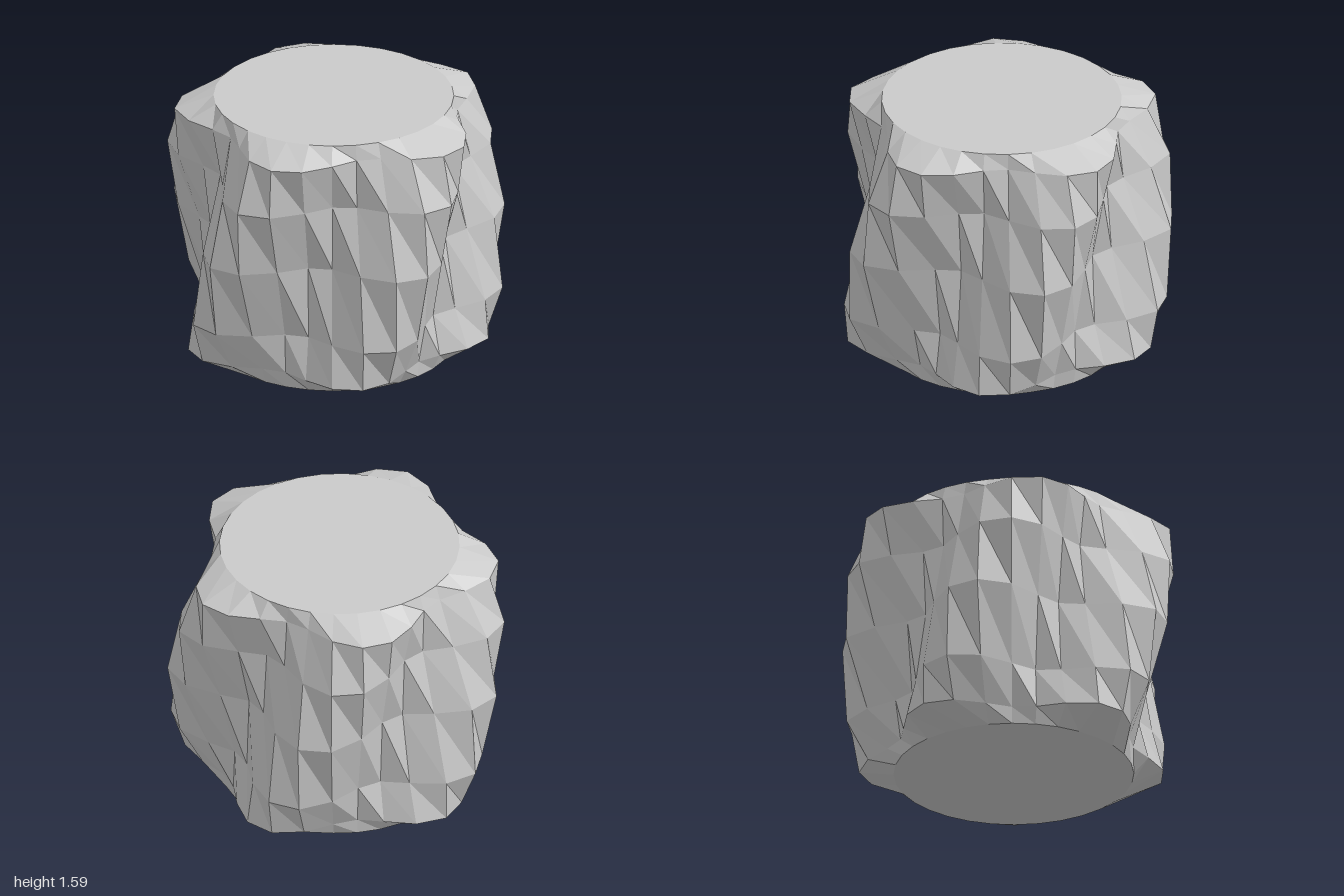
import * as THREE from 'three';

const SIDES = 32;   // columns round the stone
const LOBES = 5;    // bulges round the stone
const CX = -0.014, CZ = 0.036;

// Rings from top to bottom: height, mean radius, bulge depth, column of the first bulge
const RINGS = [
  { y: 1.59, r: 0.707, a: 0, p: 0 },
  { y: 1.5, r: 0.832, a: 0.108, p: 3.45 },
  { y: 1.2, r: 0.86, a: 0.143, p: 4.4 },
  { y: 0.8, r: 0.868, a: 0.155, p: 5.33 },
  { y: 0.35, r: 0.852, a: 0.143, p: 6.23 },
  { y: 0.1, r: 0.825, a: 0.11, p: 7.1 },
  { y: 0, r: 0.707, a: 0, p: 0 },
];

function ringPoint(ring, j) {
  const t = (j / SIDES) * Math.PI * 2;
  const r = ring.r + ring.a * Math.cos(((j - ring.p) / SIDES) * Math.PI * 2 * LOBES);
  return [CX + r * Math.cos(t), ring.y, CZ + r * Math.sin(t)];
}

function flatMesh(name, positions, material) {
  const g = new THREE.BufferGeometry();
  g.setAttribute('position', new THREE.Float32BufferAttribute(positions, 3));
  g.computeVertexNormals();
  const mesh = new THREE.Mesh(g, material);
  mesh.name = name;
  return mesh;
}

export function createModel() {
  const group = new THREE.Group();
  group.name = 'twistedStoneDrum';
  const stone = new THREE.MeshStandardMaterial({ color: 0xcacaca });
  stone.name = 'stone grey';

  // Faceted side with twisting bulges and bevelled rims
  const side = [];
  for (let i = 0; i < RINGS.length - 1; i++) {
    for (let j = 0; j < SIDES; j++) {
      const a = ringPoint(RINGS[i], j), b = ringPoint(RINGS[i], j + 1);
      const c = ringPoint(RINGS[i + 1], j), d = ringPoint(RINGS[i + 1], j + 1);
      side.push(...b, ...c, ...a, ...b, ...d, ...c);
    }
  }
  group.add(flatMesh('drumSide', side, stone));

  // Flat round ends
  const top = [], bottom = [];
  const first = RINGS[0], last = RINGS[RINGS.length - 1];
  for (let j = 0; j < SIDES; j++) {
    top.push(CX, first.y, CZ, ...ringPoint(first, j + 1), ...ringPoint(first, j));
    bottom.push(CX, last.y, CZ, ...ringPoint(last, j), ...ringPoint(last, j + 1));
  }
  group.add(flatMesh('topFace', top, stone), flatMesh('bottomFace', bottom, stone));
  return group;
}
